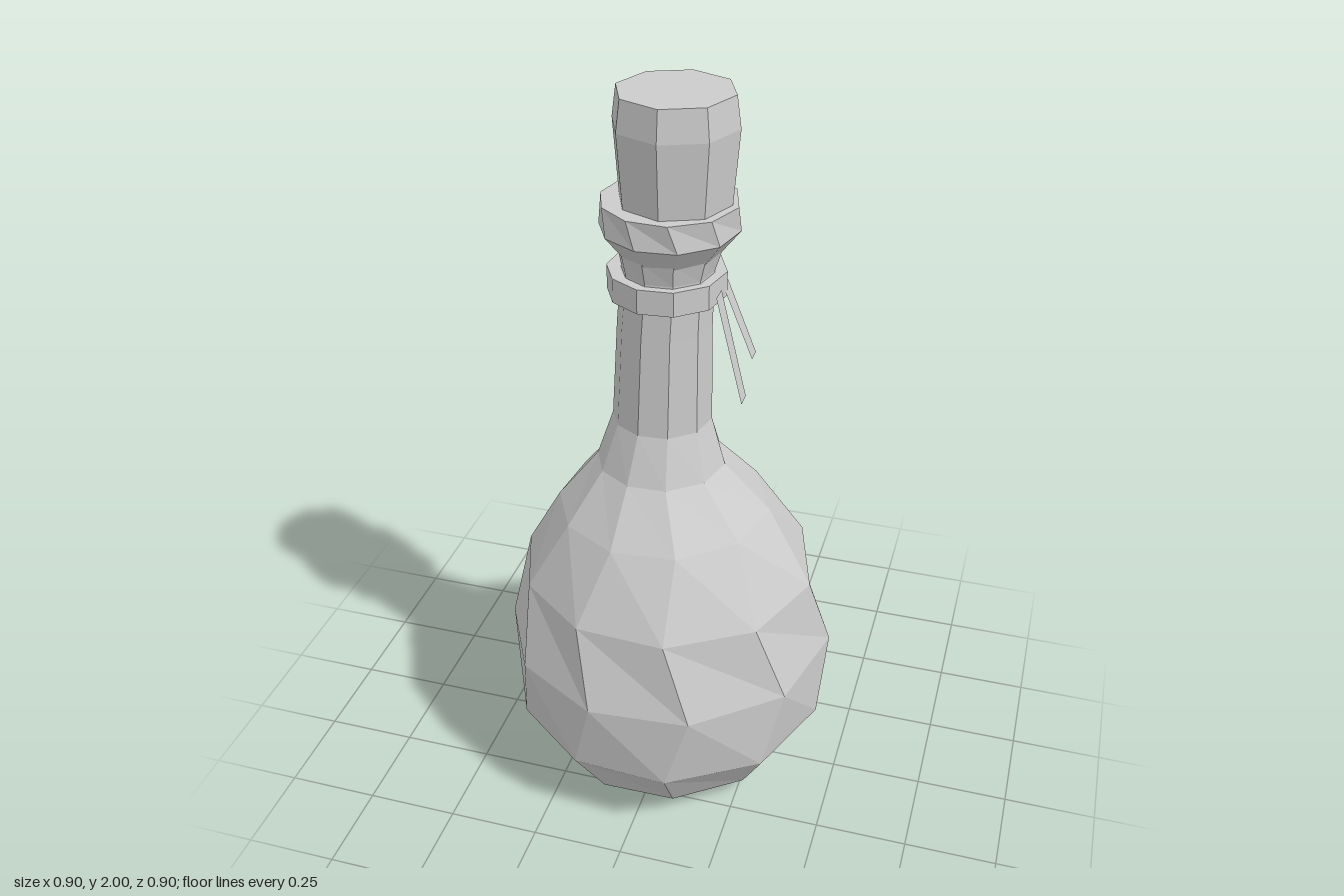
import * as THREE from 'three';

const material = new THREE.MeshStandardMaterial({ color: 0xcccccc, flatShading: true });
const ribbonMaterial = new THREE.MeshStandardMaterial({ color: 0xcccccc, flatShading: true, side: THREE.DoubleSide });

// Slightly uneven ten-sided outline of the glass, in degrees
const GLASS = [-83.6, -44, -5, 31.6, 68, 102.6, 136, 168.7, 202.7, 238.6];
const OCTAGON = Array.from({ length: 8 }, (_, i) => i * 45);

// Skin between rings [y, radius, centreX, centreZ, twist], closed at both ends
function loft(name, angles, rings) {
  const n = angles.length, pos = [], idx = [];
  for (const [y, r, cx = 0, cz = 0, twist = 0] of rings) {
    for (const deg of angles) {
      const a = THREE.MathUtils.degToRad(deg + twist);
      pos.push(cx + r * Math.cos(a), y, cz + r * Math.sin(a));
    }
  }
  for (let i = 0; i < rings.length - 1; i++) {
    for (let j = 0; j < n; j++) {
      const a = i * n + j, b = i * n + (j + 1) % n;
      idx.push(a, a + n, b + n, a, b + n, b);
    }
  }
  const top = (rings.length - 1) * n;
  for (let j = 1; j < n - 1; j++) {
    idx.push(0, j, j + 1);
    idx.push(top, top + j + 1, top + j);
  }
  return finish(name, pos, idx, material);
}

function finish(name, pos, idx, mat) {
  const g = new THREE.BufferGeometry();
  g.setAttribute('position', new THREE.Float32BufferAttribute(pos, 3));
  g.setIndex(idx);
  const flat = g.toNonIndexed();
  flat.computeVertexNormals();
  const mesh = new THREE.Mesh(flat, mat);
  mesh.name = name;
  return mesh;
}

// Thin hanging strip: each end is [x, y, zFront, zBack]
function ribbon(name, [x0, y0, f0, b0], [x1, y1, f1, b1]) {
  const pos = [x0, y0, f0, x0, y0, b0, x1, y1, b1, x1, y1, f1];
  return finish(name, pos, [0, 2, 1, 0, 3, 2], ribbonMaterial);
}

export function createModel() {
  const model = new THREE.Group();
  model.name = 'corkedBottle';

  // Round belly running up into the slim neck
  model.add(loft('bottleBody', GLASS, [
    [0, 0.22, -0.01, 0, 4],
    [0.06, 0.34, -0.005, 0, 4],
    [0.22, 0.44, 0, 0, 8],
    [0.44, 0.455, 0, 0, 0],
    [0.66, 0.405, -0.005, 0, 8],
    [0.86, 0.288, -0.015, 0.01, 0],
    [1.0, 0.172, -0.02, 0.02, 2],
    [1.13, 0.131, -0.018, 0.015, 0],
    [1.4, 0.122, -0.012, 0.012, 0],
    [1.55, 0.117, -0.004, 0.01, 0],
    [1.61, 0.132, 0, 0.008, 2],
  ]));

  // Flared lip around the mouth
  model.add(loft('lip', GLASS, [
    [1.6, 0.128, 0, 0.008, 0],
    [1.66, 0.176, 0, 0.006, 0],
    [1.73, 0.174, 0, 0.006, 8],
  ]));

  // Band tied around the neck
  model.add(loft('neckBand', GLASS, [
    [1.48, 0.152, -0.01, -0.002, 0],
    [1.545, 0.152, -0.01, -0.002, 0],
  ]));

  // Hanging ends of the band
  model.add(ribbon('frontRibbon', [0.135, 1.51, 0.068, 0.018], [0.208, 1.23, 0.08, 0.035]));
  model.add(ribbon('backRibbon', [0.135, 1.51, 0, -0.045], [0.206, 1.3, -0.032, -0.073]));

  // Eight-sided stopper
  model.add(loft('cork', OCTAGON, [
    [1.62, 0.125, 0.012, 0.006],
    [1.73, 0.143, 0.013, 0.006],
    [1.92, 0.158, 0.014, 0.006],
    [2.0, 0.147, 0.014, 0.006],
  ]));

  return model;
}
